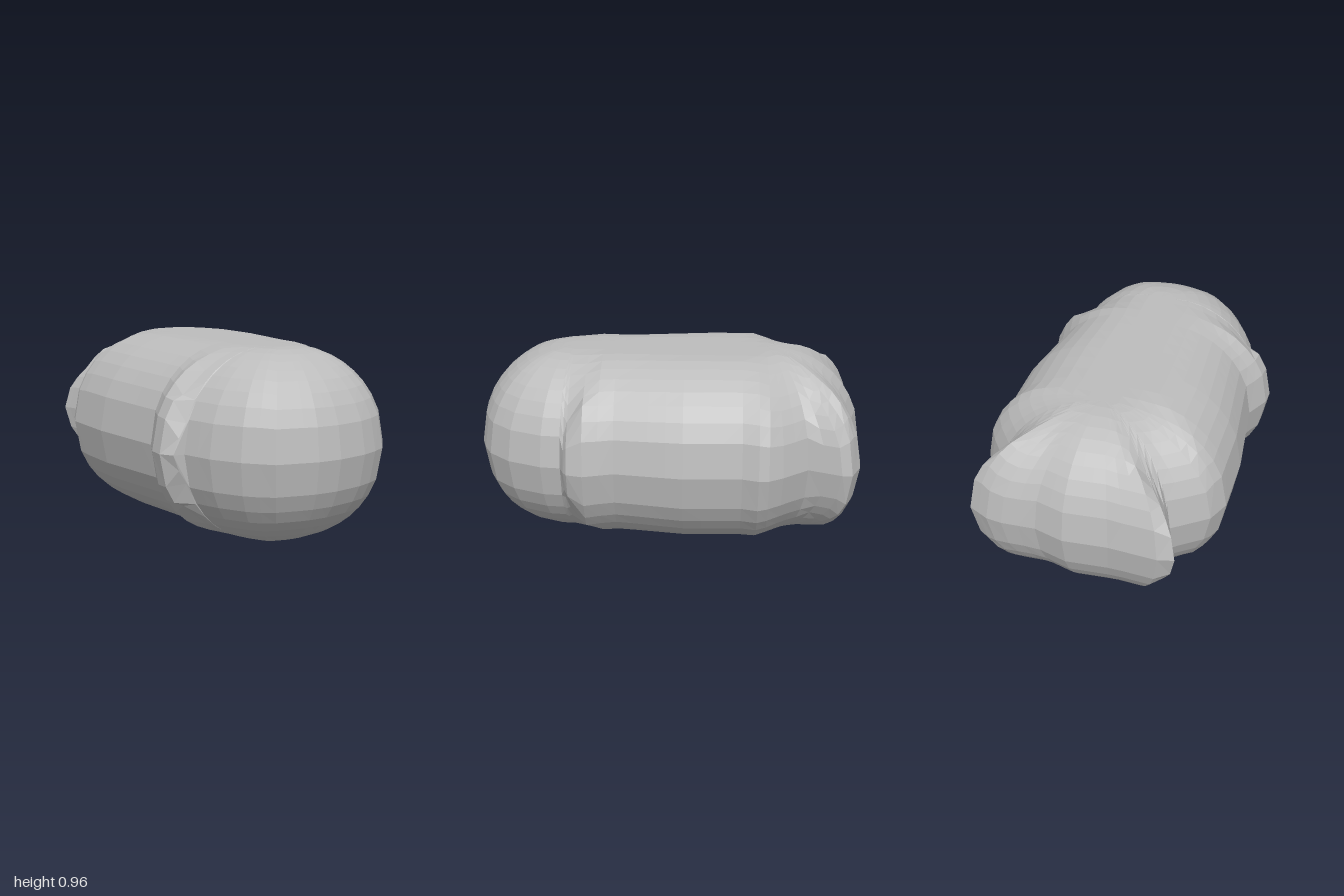
import * as THREE from 'three';

// Plan outline (x, z), counter-clockwise seen from above, starting at the front
const OUTLINE = [
  [0, 1], [.16, .98], [.25, .95], [.33, .91], [.43, .8], [.5, .63], [.51, .53],
  [.56, .51], [.59, .49], [.61, .41], [.57, .26], [.62, -.08], [.61, -.37],
  [.635, -.45], [.63, -.5], [.59, -.57], [.49, -.7], [.555, -.86], [.555, -.91],
  [.45, -.96], [.37, -.97], [.2, -.96], [.05, -1], [-.17, -.98], [-.41, -.99],
  [-.49, -.97], [-.475, -.935], [-.42, -.79], [-.41, -.77], [-.58, -.645],
  [-.63, -.53], [-.63, -.21], [-.58, .24], [-.645, .37], [-.65, .45], [-.61, .51],
  [-.555, .52], [-.51, .67], [-.43, .81], [-.32, .93], [-.12, .99],
].map(([x, z]) => new THREE.Vector2(x, z));

const MID = 0.483;    // height of the seam
const HALF = 0.481;   // half thickness
const ROUND = 0.45;   // width of the rounded rim
const STEPS = [0, .05, .12, .2, .29, .39, .5, .62, .75, .88, 1];

// Shortest distance from a plan point to the outline
function edgeDistance(p) {
  let best = Infinity;
  OUTLINE.forEach((a, i) => {
    const ab = OUTLINE[(i + 1) % OUTLINE.length].clone().sub(a);
    const t = THREE.MathUtils.clamp(p.clone().sub(a).dot(ab) / ab.lengthSq(), 0, 1);
    best = Math.min(best, p.distanceTo(ab.multiplyScalar(t).add(a)));
  });
  return best;
}

// Inflated thickness: a quarter round at the rim, flat further in
function thickness(p) {
  const u = 1 - Math.min(edgeDistance(p) / ROUND, 1);
  return HALF * Math.sqrt(1 - u * u);
}

// Split long outline edges so facets stay even
function finePoints() {
  const points = [];
  OUTLINE.forEach((a, i) => {
    const b = OUTLINE[(i + 1) % OUTLINE.length];
    const n = Math.ceil(a.distanceTo(b) / 0.1);
    for (let k = 0; k < n; k++) points.push(a.clone().lerp(b, k / n));
  });
  return points;
}

// One half of the shell: rings running from the outline in to a central spine
function shellGeometry(side) {
  const rim = finePoints();
  const rings = STEPS.map((s) => rim.map((p) => {
    const spine = new THREE.Vector2(0, THREE.MathUtils.clamp(p.y, -0.5, 0.5));
    const q = p.clone().lerp(spine, s);
    return new THREE.Vector3(q.x, MID + side * (s === 0 ? 0 : thickness(q)), q.y);
  }));
  const pos = [];
  const triangle = (a, b, c) => {
    const area = b.clone().sub(a).cross(c.clone().sub(a)).length();
    if (area < 1e-8) return;
    for (const v of side > 0 ? [a, b, c] : [a, c, b]) pos.push(v.x, v.y, v.z);
  };
  for (let r = 0; r < rings.length - 1; r++) {
    for (let i = 0; i < rim.length; i++) {
      const j = (i + 1) % rim.length;
      triangle(rings[r][i], rings[r][j], rings[r + 1][j]);
      triangle(rings[r][i], rings[r + 1][j], rings[r + 1][i]);
    }
  }
  const geometry = new THREE.BufferGeometry();
  geometry.setAttribute('position', new THREE.Float32BufferAttribute(pos, 3));
  geometry.computeVertexNormals();
  return geometry;
}

export function createModel() {
  const model = new THREE.Group();
  model.name = 'inflatedBody';
  const grey = new THREE.MeshStandardMaterial({ color: 0xbcbcbc, flatShading: true });
  grey.name = 'plain grey';
  for (const [name, side] of [['upperShell', 1], ['lowerShell', -1]]) {
    const mesh = new THREE.Mesh(shellGeometry(side), grey);
    mesh.name = name;
    model.add(mesh);
  }
  return model;
}
